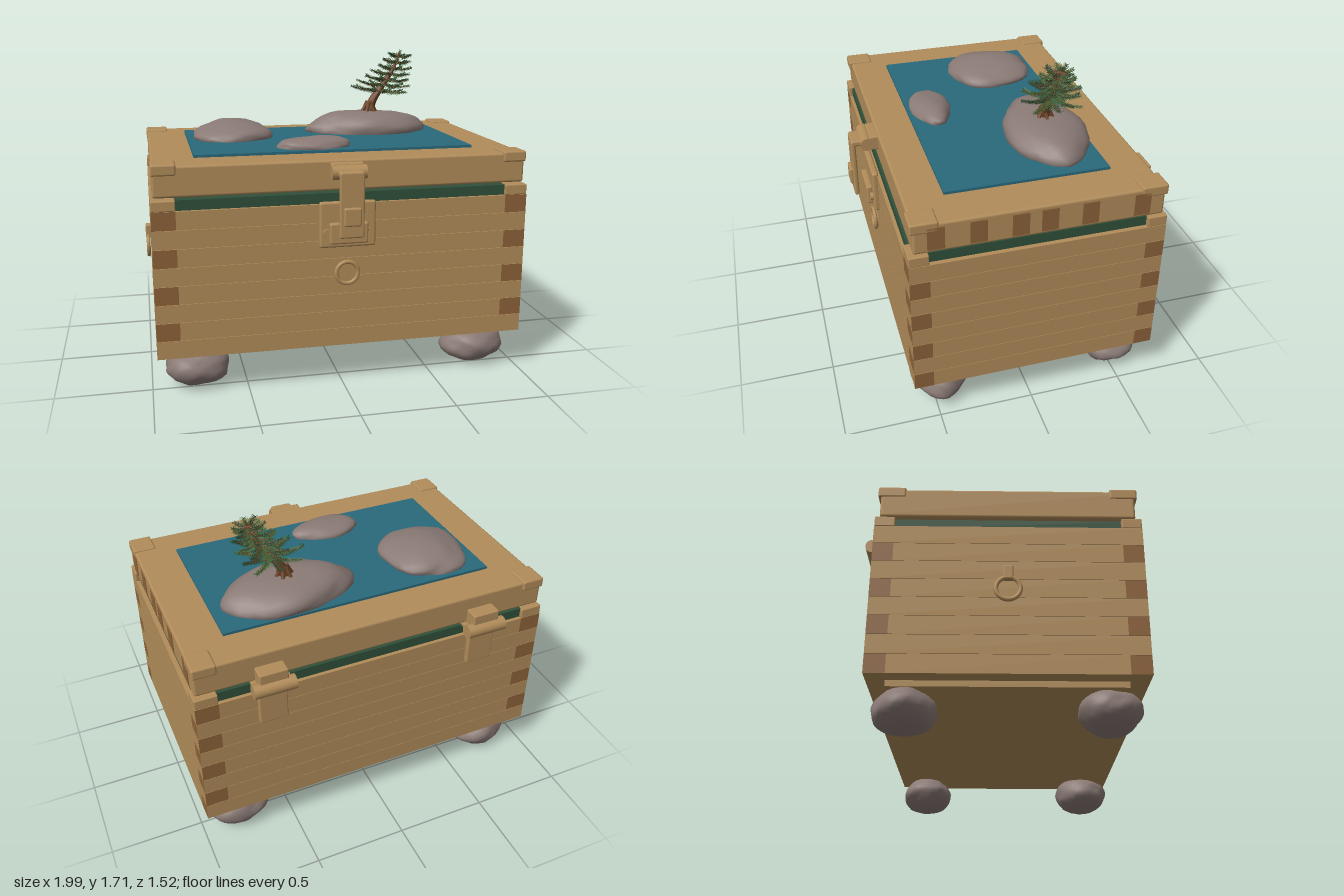
import * as THREE from 'three';
import { mergeVertices } from 'three/addons/utils/BufferGeometryUtils.js';
import { RoundedBoxGeometry } from 'three/addons/geometries/RoundedBoxGeometry.js';

const mat = (name, color, side = THREE.FrontSide) =>
  Object.assign(new THREE.MeshStandardMaterial({ color, side }), { name });
const wood = mat('wood', 0xb18c5a);
const endGrain = mat('endGrain', 0x8d6239);
const seal = mat('sealGreen', 0x30503a);
const water = mat('water', 0x2a6a7c);
const stone = mat('stone', 0x8a7a75);
const bark = mat('bark', 0x6f4529);
const needleDark = mat('needleDark', 0x24462b, THREE.DoubleSide);
const needleLight = mat('needleLight', 0x3c6a3b, THREE.DoubleSide);

const CX = 0.013, V = (x, y, z) => new THREE.Vector3(x, y, z);

// Small seeded random generator
let seed = 7;
const rnd = () => (seed = (seed * 16807) % 2147483647) / 2147483647;

function add(parent, name, geo, material, x = 0, y = 0, z = 0) {
  const m = new THREE.Mesh(geo, material);
  m.name = name;
  m.position.set(x, y, z);
  parent.add(m);
  return m;
}

// Box given by its limits on each axis, optionally with rounded edges
function box(parent, name, material, [x0, x1], [y0, y1], [z0, z1], r = 0) {
  const s = [x1 - x0, y1 - y0, z1 - z0];
  const geo = r ? new RoundedBoxGeometry(...s, 2, r) : new THREE.BoxGeometry(...s);
  return add(parent, name, geo, material, (x0 + x1) / 2, (y0 + y1) / 2, (z0 + z1) / 2);
}

// Lumpy weathered stone
function rock(parent, name, [x, y, z], [rx, ry, rz], phase) {
  let g = new THREE.IcosahedronGeometry(1, 5);
  g.deleteAttribute('uv');
  g.deleteAttribute('normal');
  g = mergeVertices(g, 1e-4);
  const p = g.attributes.position, v = V(0, 0, 0);
  for (let i = 0; i < p.count; i++) {
    v.fromBufferAttribute(p, i);
    const n = Math.sin(v.x * 3.1 + phase) * Math.sin(v.z * 3.7 + phase * 2) * 0.06
      + Math.sin(v.y * 5 + v.x * 4 + phase * 3) * 0.03
      + Math.sin(v.x * 9 + phase) * Math.cos(v.z * 8 - v.y * 7) * 0.025;
    v.multiplyScalar(0.98 + n);
    p.setXYZ(i, v.x * rx, v.y * ry, v.z * rz);
  }
  g.computeVertexNormals();
  return add(parent, name, g, stone, x, y, z);
}

// Tube that tapers from r0 to r1
function taper(points, r0, r1, seg = 10) {
  const curve = new THREE.CatmullRomCurve3(points);
  const g = new THREE.TubeGeometry(curve, seg, 1, 8);
  const p = g.attributes.position, v = V(0, 0, 0);
  for (let i = 0; i < p.count; i++) {
    const t = Math.floor(i / 9) / seg, c = curve.getPointAt(t);
    v.fromBufferAttribute(p, i).sub(c).multiplyScalar(r0 + (r1 - r0) * t).add(c);
    p.setXYZ(i, v.x, v.y, v.z);
  }
  g.computeVertexNormals();
  return g;
}

// Needles set around a list of branch curves, one thin triangle each
function needles(branches) {
  const out = [], up = V(0, 1, 0);
  for (const c of branches) {
    const n = Math.round(c.getLength() / 0.0075);
    for (let i = 3; i <= n; i++) {
      const t = i / n, p = c.getPoint(t), d = c.getTangent(t);
      const side = d.clone().cross(up).normalize(), top = side.clone().cross(d);
      for (let k = 0; k < 5; k++) {
        const a = [0.1, Math.PI - 0.1, 0.9, Math.PI - 0.9, -1.3][k] + (rnd() - 0.5) * 0.4;
        const len = (k < 2 ? 0.03 : 0.017) * (1.15 - 0.5 * t);
        const tip = p.clone().addScaledVector(side, Math.cos(a) * len)
          .addScaledVector(top, Math.sin(a) * len).addScaledVector(d, len * 0.7);
        const l = p.clone().addScaledVector(d, -0.003), r = p.clone().addScaledVector(d, 0.003);
        out.push(...l.toArray(), ...r.toArray(), ...tip.toArray());
      }
    }
  }
  const g = new THREE.BufferGeometry();
  g.setAttribute('position', new THREE.Float32BufferAttribute(out, 3));
  g.computeVertexNormals();
  return g;
}

function chest(g) {
  const X = [-0.97, 0.996], Z = [-0.675, 0.628], tx = 0.12, tz = 0.1, y0 = 0.22, h = 0.0965;
  const xIn = [X[0] + tx, X[1] - tx], zIn = [Z[0] + tz, Z[1] - tz];
  box(g, 'chestCore', wood, [X[0] + 0.01, X[1] - 0.01], [y0, 0.988], [Z[0] + 0.01, Z[1] - 0.01]);
  box(g, 'basePlate', wood, [-0.885, 0.911], [0.19, y0], [-0.585, 0.535]);
  // Interlocking planks, end grain showing at alternate corners
  const alongX = [endGrain, endGrain, wood, wood, wood, wood];
  const alongZ = [wood, wood, wood, wood, endGrain, endGrain];
  for (let i = 0; i < 8; i++) {
    const ys = [y0 + i * h, y0 + (i + 1) * h - 0.002], even = i % 2 === 0;
    for (const zs of [[Z[0], zIn[0]], [zIn[1], Z[1]]]) box(g, 'longPlank', alongX, even ? X : xIn, ys, zs);
    for (const xs of [[X[0], xIn[0]], [xIn[1], X[1]]]) box(g, 'endPlank', alongZ, xs, ys, even ? zIn : Z);
  }
  // Corner blocks around the seal
  for (const xs of [[X[0], xIn[0]], [xIn[1], X[1]]])
    for (const zs of [[Z[0], zIn[0]], [zIn[1], Z[1]]]) box(g, 'cornerBlock', wood, xs, [0.99, 1.045], zs, 0.006);
  box(g, 'seal', seal, [-0.945, 0.971], [0.985, 1.043], [-0.655, 0.61]);
}

function lid(g) {
  box(g, 'lidPanel', wood, [-0.96, 0.986], [1.052, 1.212], [-0.655, 0.602], 0.014);
  for (const [a, b] of [[-0.964, -0.84], [0.866, 0.99]])
    for (const [c, d] of [[-0.668, -0.53], [0.477, 0.615]])
      box(g, 'lidCorner', wood, [a, b], [1.165, 1.222], [c, d], 0.01);
  // Inlaid stripes on one end
  for (const z of [0.492, 0.287, 0.082, -0.063, -0.268, -0.537])
    box(g, 'lidInlay', endGrain, [0.984, 0.99], [1.07, 1.19], [z - 0.042, z + 0.042]);
  box(g, 'pond', water, [-0.74, 0.766], [1.205, 1.226], [-0.455, 0.4]);
  rock(g, 'roundIsland', [-0.48, 1.235, -0.19], [0.235, 0.085, 0.255], 1.2);
  rock(g, 'smallIsland', [-0.088, 1.23, 0.27], [0.205, 0.055, 0.11], 2.6);
  rock(g, 'treeIsland', [0.35, 1.245, -0.245], [0.355, 0.11, 0.21], 4.1);
}

function hardware(g) {
  // Hinges
  for (const x of [-0.58, 0.606]) {
    const hinge = new THREE.Group();
    hinge.name = 'hinge';
    g.add(hinge);
    add(hinge, 'hingeBarrel', new THREE.CylinderGeometry(0.038, 0.038, 0.22, 20), wood, x, 1.045, -0.722)
      .rotation.z = Math.PI / 2;
    box(hinge, 'upperLeaf', wood, [x - 0.075, x + 0.075], [1.045, 1.137], [-0.73, -0.65], 0.008);
    box(hinge, 'lowerLeaf', wood, [x - 0.075, x + 0.075], [0.81, 1.04], [-0.703, -0.67], 0.006);
    box(hinge, 'hingeArm', wood, [x - 0.1, x + 0.1], [1.04, 1.056], [-0.7, -0.6]);
  }
  // Front clasp
  const clasp = new THREE.Group();
  clasp.name = 'clasp';
  g.add(clasp);
  const w = (r) => [CX - r, CX + r];
  box(clasp, 'claspPlate', wood, w(0.147), [0.765, 1.005], [0.62, 0.655], 0.012);
  box(clasp, 'claspKeeper', wood, w(0.1), [0.79, 0.9], [0.65, 0.685], 0.01);
  for (const s of [-1, 1])
    add(clasp, 'rivet', new THREE.CylinderGeometry(0.022, 0.022, 0.02, 16), wood, CX + s * 0.112, 0.845, 0.66)
      .rotation.x = Math.PI / 2;
  add(clasp, 'claspBarrel', new THREE.CylinderGeometry(0.037, 0.037, 0.18, 20), wood, CX, 1.158, 0.66)
    .rotation.z = Math.PI / 2;
  box(clasp, 'barrelMount', wood, w(0.085), [1.12, 1.2], [0.595, 0.645], 0.008);
  box(clasp, 'strapTop', wood, w(0.064), [1.14, 1.175], [0.66, 0.745], 0.012);
  box(clasp, 'strap', wood, w(0.064), [0.835, 1.17], [0.72, 0.745], 0.01);
  box(clasp, 'strapTongue', wood, w(0.045), [0.9, 0.995], [0.735, 0.762], 0.009);
  // Round pull on the front
  const ring = new THREE.TorusGeometry(0.058, 0.011, 10, 36);
  add(g, 'frontRing', ring, wood, CX, 0.625, 0.643);
  add(g, 'frontRingBack', new THREE.CylinderGeometry(0.056, 0.056, 0.01, 32), wood, CX, 0.625, 0.632)
    .rotation.x = Math.PI / 2;
  // Hanging ring on one end
  add(g, 'sideRing', ring, wood, -0.985, 0.645, -0.025).rotation.y = Math.PI / 2;
  box(g, 'sideRingMount', wood, [-0.998, -0.965], [0.69, 0.765], [-0.05, 0], 0.008);
}

function tree(g) {
  const trunk = [V(0.355, 1.32, -0.245), V(0.38, 1.4, -0.245), V(0.44, 1.49, -0.25),
    V(0.5, 1.58, -0.245), V(0.55, 1.69, -0.25)];
  add(g, 'trunk', taper(trunk, 0.031, 0.006, 16), bark);
  for (let i = 0; i < 6; i++) {
    const a = i * 1.05, c = Math.cos(a), s = Math.sin(a);
    add(g, 'root', taper([V(0.364 + c * 0.012, 1.4, -0.245 + s * 0.012), V(0.36 + c * 0.03, 1.36, -0.245 + s * 0.03),
      V(0.36 + c * 0.055, 1.325, -0.245 + s * 0.055)], 0.014, 0.008, 5), bark);
  }
  // Tiers of drooping branches, shorter towards the top
  const stem = new THREE.CatmullRomCurve3(trunk), sets = [[], []];
  for (let k = 0; k < 7; k++) {
    const t = 0.4 + k * 0.093, p = stem.getPointAt(t), reach = 0.165 - k * 0.016;
    for (let j = 0; j < 8; j++) {
      const a = j * Math.PI / 4 + k * 0.4, r = reach * (0.85 + rnd() * 0.25);
      const c = Math.cos(a) * r, s = Math.sin(a) * r, tilt = -0.1 * c;
      const pts = [p, V(p.x + c * 0.5, p.y - 0.012 + tilt * 0.5, p.z + s * 0.5), V(p.x + c, p.y + 0.004 + tilt, p.z + s)];
      add(g, 'branch', taper(pts, 0.005, 0.002, 4), bark);
      sets[(j + k) % 2].push(new THREE.CatmullRomCurve3(pts));
    }
  }
  sets[1].push(new THREE.LineCurve3(V(0.535, 1.64, -0.25), V(0.553, 1.695, -0.25)));
  add(g, 'darkNeedles', needles(sets[0]), needleDark);
  add(g, 'lightNeedles', needles(sets[1]), needleLight);
}

export function createModel() {
  const model = new THREE.Group();
  model.name = 'chest';
  for (const [name, build] of Object.entries({ body: chest, lid, hardware, pineTree: tree })) {
    const part = new THREE.Group();
    part.name = name;
    build(part);
    model.add(part);
  }
  // Stone feet
  [[-0.76, 0.455], [0.785, 0.455], [-0.76, -0.505], [0.785, -0.505]].forEach(([x, z], i) =>
    rock(model, 'stoneFoot', [x, 0.107, z], [0.178, 0.105, 0.152], i * 1.7 + 0.5));
  return model;
}
